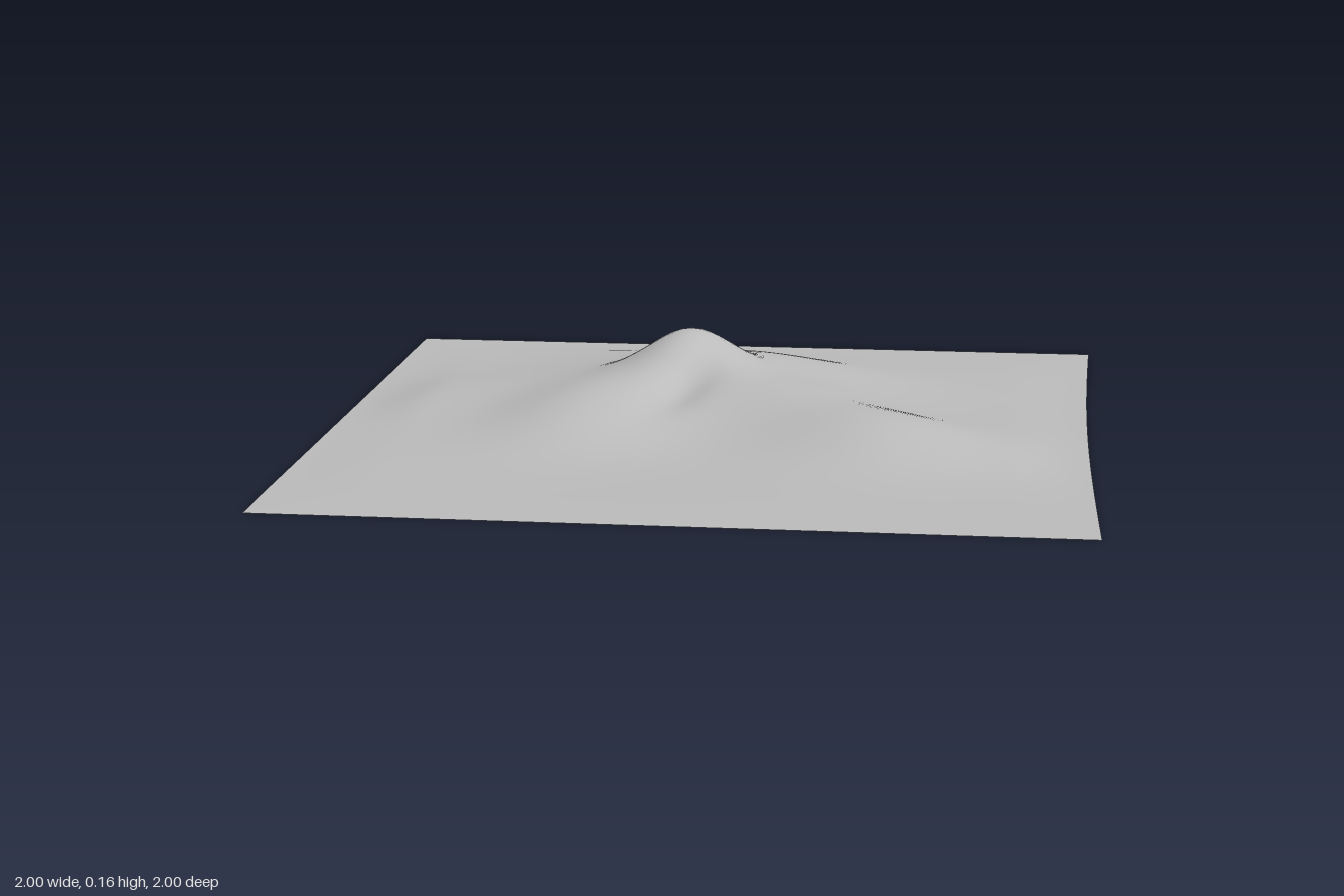
import * as THREE from 'three';

// Hills as [x, z, height, spreadX, spreadZ]
const HILLS = [
  [-0.14, -0.21, 0.087, 0.09, 0.095], // summit
  [-0.17, -0.2, 0.06, 0.26, 0.22],    // mountain base
  [-0.24, 0.14, 0.055, 0.13, 0.16],   // front ridge
  [0.4, 0.08, 0.066, 0.17, 0.14],     // second hill
  [0.12, -0.08, 0.04, 0.15, 0.13],    // saddle between the hills
  [-0.6, 0.05, 0.022, 0.15, 0.15],    // left shoulder
  [-0.05, -0.47, 0.03, 0.2, 0.1],     // back shoulder
  [-0.08, -0.02, -0.025, 0.04, 0.1],  // gully
];

function heightAt(x, z) {
  let h = 0.004 + 0.002 * Math.sin(7 * x + 2) * Math.cos(6 * z);
  for (const [cx, cz, height, sx, sz] of HILLS) {
    h += height * Math.exp(-(((x - cx) / sx) ** 2 + ((z - cz) / sz) ** 2) / 2);
  }
  return Math.max(0, h);
}

export function createModel() {
  const group = new THREE.Group();
  group.name = 'landscape';
  const stone = new THREE.MeshStandardMaterial({ color: 0xbbbbbb, side: THREE.DoubleSide });
  stone.name = 'grey ground';

  // Square open sheet, turned on its base
  const size = 1.614, half = size / 2, segments = 80;
  const angle = Math.atan2(0.45, 1.55), c = Math.cos(angle), s = Math.sin(angle);
  const geometry = new THREE.PlaneGeometry(size, size, segments, segments).rotateX(-Math.PI / 2);
  const p = geometry.attributes.position;
  for (let i = 0; i < p.count; i++) {
    let u = p.getX(i);
    const v = p.getZ(i);
    // Ground falls to zero at the rim
    const rim = Math.min(half - Math.abs(u), half - Math.abs(v));
    const fade = THREE.MathUtils.smoothstep(rim, -0.02, 0.18);
    // The right edge bows slightly inward
    u -= 0.014 * Math.cos((Math.PI * v) / size) * THREE.MathUtils.smoothstep(u, 0.5, half);
    const x = u * c + v * s, z = -u * s + v * c;
    p.setXYZ(i, x, heightAt(x, z) * fade, z);
  }
  geometry.computeVertexNormals();

  const terrain = new THREE.Mesh(geometry, stone);
  terrain.name = 'terrain';
  group.add(terrain);
  return group;
}
